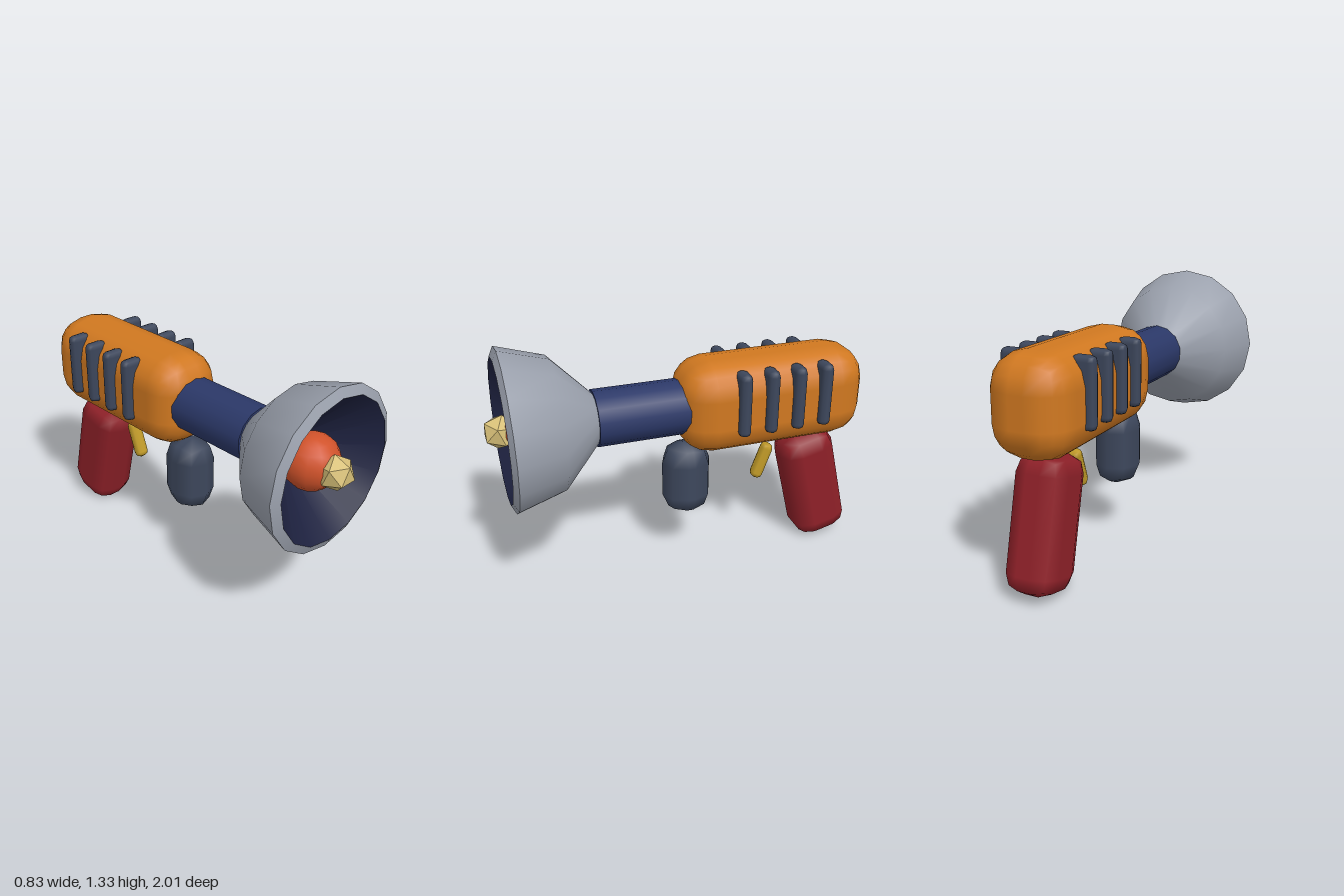
import * as THREE from 'three';
import { RoundedBoxGeometry } from 'three/addons/geometries/RoundedBoxGeometry.js';

const AXIS_Y = 0.92; // height of the barrel axis

const mat = (color, extra = {}) => new THREE.MeshStandardMaterial({ color, ...extra });
const orange = mat(0xd07820);
const navy = mat(0x2b3868);
const grey = mat(0x9aa0ac);
const dark = mat(0x1e2240);
const slate = mat(0x3d475c);
const red = mat(0x8e2028);
const yellow = mat(0xc09a28);
const ember = mat(0xd0522a);
const pale = mat(0xd8c078, { flatShading: true });

export function createModel() {
  const model = new THREE.Group();

  function add(name, geometry, material, x, y, z, tilt = 0) {
    const mesh = new THREE.Mesh(geometry, material);
    mesh.name = name;
    mesh.position.set(x, y, z);
    mesh.rotation.x = tilt;
    model.add(mesh);
    return mesh;
  }

  // Rounded box whose finished faces span w, h, d (coarse rounding shrinks the faces a little)
  function roundedBox(w, h, d, segments, r) {
    const c = 0.5 / (2 * segments + 1);
    const grow = 2 * r * (1 - 0.5 / Math.sqrt(0.25 + 2 * c * c));
    return new RoundedBoxGeometry(w + grow, h + grow, d + grow, segments, r);
  }

  // Surface of revolution along z
  function lathe(points) {
    const profile = points.map(([r, z]) => new THREE.Vector2(r, z));
    return new THREE.LatheGeometry(profile, 16).rotateX(Math.PI / 2);
  }

  // Main body
  add('body', roundedBox(0.4, 0.485, 1.02, 2, 0.17), orange, 0, AXIS_Y, -0.49);

  // Side ribs, four on each side
  const rib = roundedBox(0.115, 0.34, 0.06, 1, 0.03);
  for (const side of [-1, 1]) {
    for (let i = 0; i < 4; i++) {
      add(side > 0 ? 'leftRib' : 'rightRib', rib, slate, side * 0.185, 0.97, -0.28 - i * 0.15);
    }
  }

  // Handles and trigger
  add('foregrip', roundedBox(0.21, 0.4, 0.245, 1, 0.12), slate, 0, 0.5, -0.033);
  add('rearGrip', roundedBox(0.25, 0.65, 0.3, 1, 0.1), red, 0, 0.343, -0.79, 0.235);
  add('trigger', roundedBox(0.07, 0.21, 0.06, 1, 0.03), yellow, 0, 0.516, -0.48, -0.36);

  // Barrel
  const barrel = new THREE.CylinderGeometry(0.148, 0.148, 0.5, 14).rotateX(Math.PI / 2);
  add('barrel', barrel, navy, 0, AXIS_Y, 0.21);

  // Flared muzzle: outer bell, bevelled rim and dark lining
  add('muzzleBell', lathe([[0.13, 0.455], [0.345, 0.66], [0.417, 0.905]]), grey, 0, AXIS_Y, 0);
  add('muzzleRim', lathe([[0.417, 0.905], [0.37, 0.928]]), grey, 0, AXIS_Y, 0);
  add('muzzleLining', lathe([[0.37, 0.928], [0, 0.57]]), dark, 0, AXIS_Y, 0);

  // Emitter: stem, glowing ball and faceted tip
  const stem = new THREE.CylinderGeometry(0.03, 0.03, 0.15, 8).rotateX(Math.PI / 2);
  add('emitterStem', stem, dark, 0, AXIS_Y, 0.64);
  add('emitterBall', new THREE.SphereGeometry(0.142, 12, 10), ember, 0, AXIS_Y, 0.785);
  // Turned so that one triangle faces straight ahead
  add('emitterTip', new THREE.IcosahedronGeometry(0.09, 0), pale, 0, AXIS_Y, 0.928, -1.206);

  return model;
}
